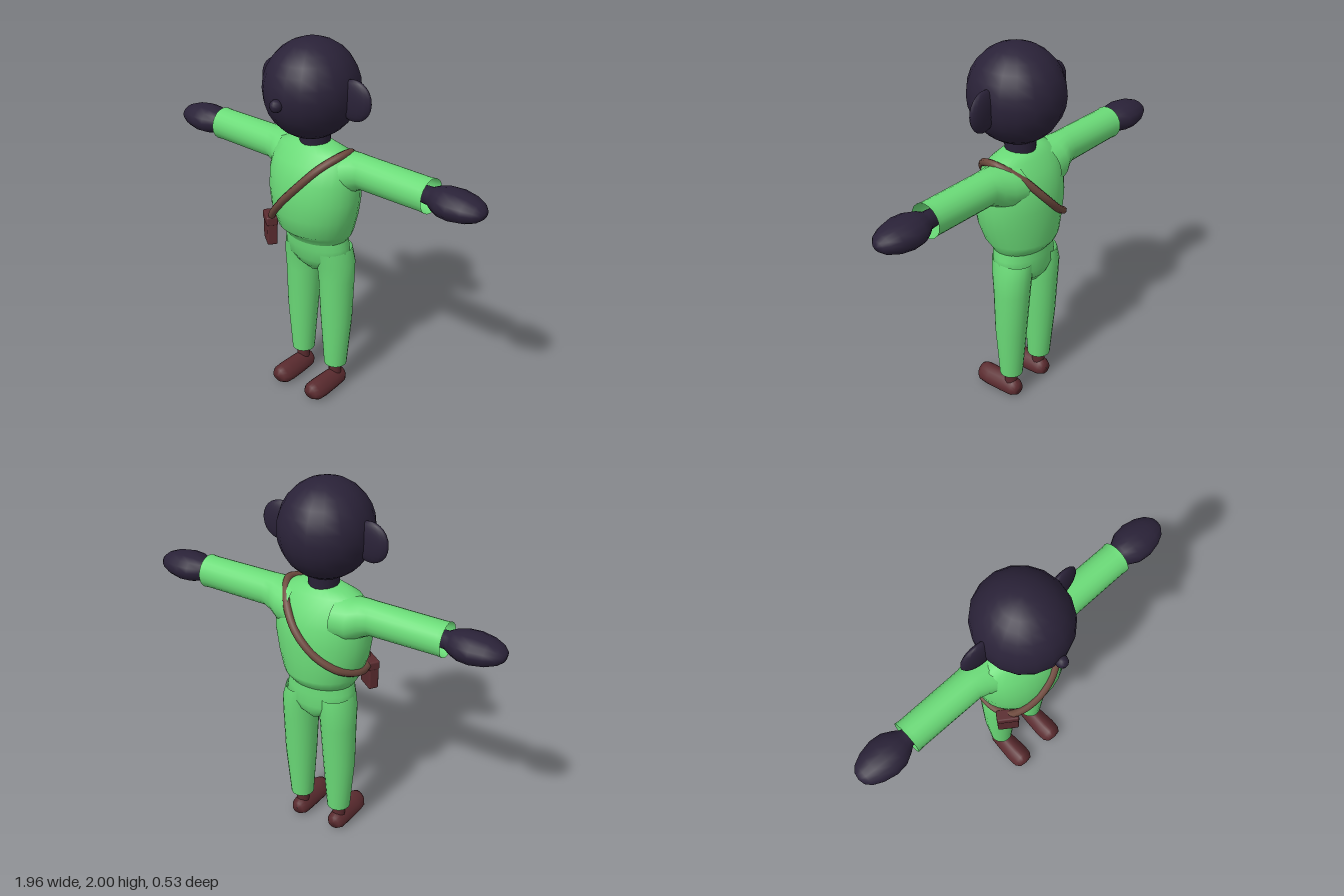
import * as THREE from 'three';
import { RoundedBoxGeometry } from 'three/addons/geometries/RoundedBoxGeometry.js';

const mat = (color, side = THREE.FrontSide) => new THREE.MeshStandardMaterial({ color, side });
const fur = mat(0x2a2238);
const cloth = mat(0x6bdb78, THREE.DoubleSide);
const strapBrown = mat(0x6e4a3e);
const leather = mat(0x5a2b2f);

// Skin of elliptical rings stacked along y; ring = [y, centreX, radiusX, centreZ, radiusZ], y ascending
function loft(rings, n = 20) {
  const pos = [], idx = [];
  rings.forEach(([y, cx, rx, cz, rz], j) => {
    for (let i = 0; i < n; i++) {
      const a = (i / n) * Math.PI * 2;
      pos.push(cx + rx * Math.cos(a), y, cz + rz * Math.sin(a));
      if (j === 0) continue;
      const k = (i + 1) % n, lo = (j - 1) * n, hi = j * n;
      idx.push(lo + i, hi + i, lo + k, hi + i, hi + k, lo + k);
    }
  });
  const g = new THREE.BufferGeometry();
  g.setAttribute('position', new THREE.Float32BufferAttribute(pos, 3));
  g.setIndex(idx);
  g.computeVertexNormals();
  return g;
}

export function createModel() {
  const model = new THREE.Group();
  const add = (name, geometry, material, x = 0, y = 0, z = 0) => {
    const m = new THREE.Mesh(geometry, material);
    m.name = name;
    m.position.set(x, y, z);
    model.add(m);
    return m;
  };

  // Head, nose and neck
  add('head', new THREE.SphereGeometry(1, 18, 14), fur, 0, 1.75, -0.02).scale.set(0.238, 0.25, 0.25);
  add('nose', new THREE.SphereGeometry(0.032, 10, 8), fur, 0, 1.725, 0.235);
  add('neck', new THREE.CylinderGeometry(0.085, 0.075, 0.14, 16), fur, 0, 1.5, -0.045);

  // Torso, closed at the collar
  add('torso', loft([
    [0.94, 0, 0.178, -0.065, 0.135],
    [0.97, 0, 0.198, -0.068, 0.155],
    [1.0, 0, 0.212, -0.056, 0.18],
    [1.1, 0, 0.245, -0.045, 0.195],
    [1.2, 0, 0.262, -0.045, 0.196],
    [1.3, 0, 0.262, -0.045, 0.185],
    [1.38, 0, 0.25, -0.045, 0.15],
    [1.44, 0, 0.215, -0.048, 0.105],
    [1.465, 0, 0.13, -0.045, 0.08],
    [1.475, 0, 0.07, -0.045, 0.06],
    [1.476, 0, 0.001, -0.045, 0.001],
  ], 28), cloth);

  // Pelvis, narrowing to the crotch
  add('pelvis', loft([
    [0.715, 0, 0.002, -0.09, 0.03],
    [0.735, 0, 0.04, -0.09, 0.065],
    [0.78, 0, 0.125, -0.085, 0.105],
    [0.83, 0, 0.196, -0.077, 0.125],
    [0.9, 0, 0.188, -0.068, 0.132],
    [0.96, 0, 0.178, -0.065, 0.133],
  ], 24), cloth);

  for (const s of [1, -1]) {
    const side = s > 0 ? 'left' : 'right';

    // Ear
    const ear = add(side + 'Ear', new THREE.SphereGeometry(1, 16, 12), fur, s * 0.25, 1.738, -0.035);
    ear.scale.set(0.1, 0.104, 0.03);
    ear.rotation.y = s * 0.08;

    // Sleeve, flared into the shoulder and open at the cuff
    add(side + 'Sleeve', loft([
      [0.12, s * 0.035, 0.115, 0, 0.135],
      [0.2, s * 0.03, 0.112, 0, 0.12],
      [0.25, s * 0.012, 0.1, 0, 0.096],
      [0.3, 0, 0.087, 0, 0.086],
      [0.66, 0, 0.085, 0, 0.084],
      [0.69, 0, 0.088, 0, 0.087],
    ]).rotateZ(-s * Math.PI / 2), cloth, 0, 1.368, -0.075);

    // Mitten hand with its wrist inside the cuff
    add(side + 'Hand', loft([
      [0.6, 0, 0.001, 0, 0.001],
      [0.601, 0, 0.04, 0, 0.04],
      [0.69, 0, 0.045, 0, 0.048],
      [0.72, 0, 0.06, 0, 0.07],
      [0.77, 0, 0.072, 0, 0.098],
      [0.83, 0, 0.074, 0, 0.105],
      [0.9, 0, 0.064, 0, 0.09],
      [0.95, 0, 0.045, 0, 0.065],
      [0.975, 0, 0.025, 0, 0.036],
      [0.982, 0, 0.001, 0, 0.001],
    ], 16).rotateZ(-s * Math.PI / 2), fur, 0, 1.368, -0.075);

    // Trouser leg, open at the hem
    add(side + 'Leg', loft([
      [0.155, s * 0.118, 0.063, -0.087, 0.063],
      [0.45, s * 0.12, 0.086, -0.088, 0.085],
      [0.7, s * 0.115, 0.094, -0.09, 0.1],
      [0.8, s * 0.112, 0.097, -0.088, 0.11],
      [0.88, s * 0.1, 0.09, -0.078, 0.115],
    ]), cloth);

    // Ankle and shoe; the shoe narrows towards its top
    add(side + 'Ankle', new THREE.CylinderGeometry(0.035, 0.036, 0.2, 12), leather, s * 0.118, 0.17, -0.085);
    const shoe = loft([
      [-0.146, 0, 0.001, 0, 0.001],
      [-0.14, 0, 0.034, 0.005, 0.035],
      [-0.115, 0, 0.05, 0, 0.05],
      [-0.05, 0, 0.056, -0.002, 0.055],
      [0.05, 0, 0.062, 0, 0.053],
      [0.1, 0, 0.058, 0, 0.052],
      [0.125, 0, 0.042, 0, 0.04],
      [0.135, 0, 0.001, 0, 0.001],
    ], 16).rotateX(Math.PI / 2);
    const p = shoe.attributes.position;
    for (let i = 0; i < p.count; i++) p.setX(i, p.getX(i) * (1 - 5 * p.getY(i)));
    shoe.computeVertexNormals();
    add(side + 'Shoe', shoe, leather, s * 0.118, 0.057, 0);
  }

  // Strap looping over the left shoulder and round the right hip
  const loop = [
    [0.2, 1.45, -0.05], [0.14, 1.395, 0.078], [0.05, 1.29, 0.143], [-0.05, 1.18, 0.153],
    [-0.14, 1.08, 0.122], [-0.19, 1.02, 0.075], [-0.222, 1.025, 0.0], [-0.225, 1.045, -0.09],
    [-0.17, 1.09, -0.19], [-0.06, 1.17, -0.24], [0.05, 1.28, -0.237], [0.14, 1.39, -0.17],
  ].map((v) => new THREE.Vector3(...v));
  const path = new THREE.CatmullRomCurve3(loop, true);
  add('strap', new THREE.TubeGeometry(path, 72, 0.02, 8, true), strapBrown);

  // Hip bag with a flap, turned to face outwards
  const bag = new THREE.Group();
  bag.name = 'bag';
  const body = new THREE.Mesh(new RoundedBoxGeometry(0.11, 0.16, 0.055, 2, 0.01), leather);
  body.name = 'bagBody';
  const flap = new THREE.Mesh(new RoundedBoxGeometry(0.115, 0.05, 0.062, 2, 0.01), leather);
  flap.name = 'bagFlap';
  flap.position.y = 0.058;
  bag.add(body, flap);
  bag.position.set(-0.2, 0.957, 0.08);
  bag.rotation.y = -0.62;
  model.add(bag);

  return model;
}
